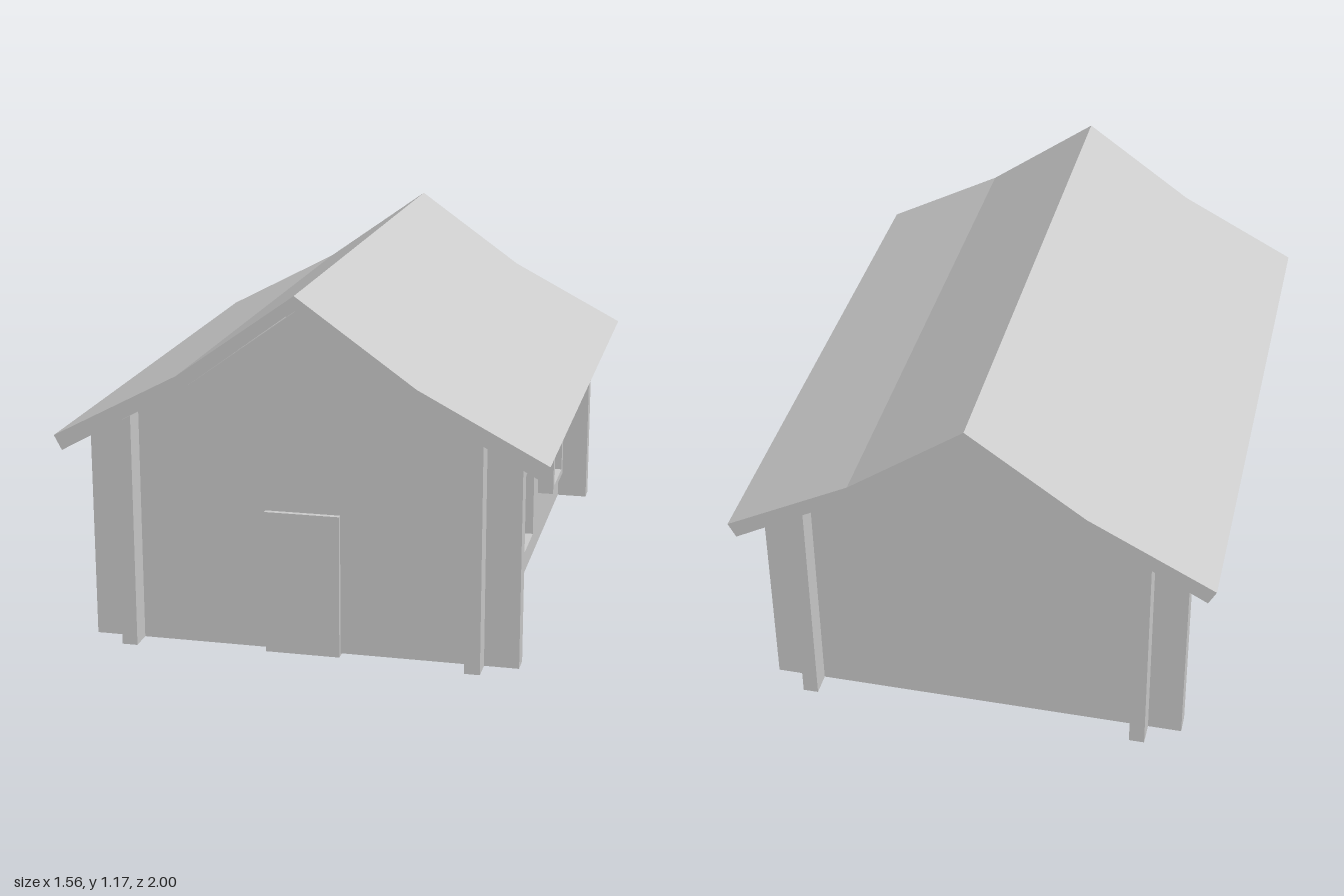
import * as THREE from 'three';

const material = new THREE.MeshStandardMaterial({ color: 0xcccccc, flatShading: true });

// Extrudes an x-y outline along z between z0 and z1
function prism(name, points, z0, z1, hole) {
  const shape = new THREE.Shape(points.map(([x, y]) => new THREE.Vector2(x, y)));
  if (hole) shape.holes.push(new THREE.Path(hole.map(([x, y]) => new THREE.Vector2(x, y))));
  const geometry = new THREE.ExtrudeGeometry(shape, { depth: z1 - z0, bevelEnabled: false });
  geometry.translate(0, 0, z0);
  const mesh = new THREE.Mesh(geometry, material);
  mesh.name = name;
  return mesh;
}

// Mirrors a right-hand half outline, listed from the ridge outwards, across x = 0
function mirrored(half) {
  const left = half.filter(([x]) => x > 0).map(([x, y]) => [-x, y]).reverse();
  return [...left, ...half];
}

const rect = (x0, y0, x1, y1) => [[x0, y0], [x1, y0], [x1, y1], [x0, y1]];

export function createModel() {
  const cabin = new THREE.Group();
  cabin.name = 'cabin';
  const base = 0.008;

  // Roof: steep upper pitch, shallower eaves
  const roofTop = mirrored([[0, 1.17], [0.375, 0.903], [0.78, 0.69]]);
  const roofUnderside = mirrored([[0, 1.125], [0.36, 0.86], [0.755, 0.643]]);
  cabin.add(prism('roof', [...roofTop, ...roofUnderside.reverse()], -1, 1));

  // Gable walls run past the corners to form short tails
  const gable = mirrored([[0, 1.117], [0.36, 0.857], [0.688, 0.677], [0.688, base]]);
  cabin.add(prism('frontGableWall', gable, 0.855, 0.92));
  cabin.add(prism('backGableWall', gable, -0.92, -0.855));

  // Door
  cabin.add(prism('door', rect(-0.12, 0, 0.12, 0.465), 0.88, 0.937));

  // Each side: long wall crossing the gables, with two framed windows
  for (const [name, turn] of [['leftSide', 0], ['rightSide', Math.PI]]) {
    const side = new THREE.Group();
    side.name = name;
    side.add(prism('sideWall', [[0.528, base], [0.578, base], [0.578, 0.74], [0.528, 0.767]], -0.996, 0.996));

    for (const z of [0.372, -0.388]) {
      const window = new THREE.Group();
      window.name = 'window';
      window.add(prism('windowFrame', rect(-0.133, 0.203, 0.133, 0.523), 0, 0.062, rect(-0.1, 0.227, 0.1, 0.492)));
      // Backing panel, showing just inside the wall
      window.add(prism('windowPanel', rect(-0.13, 0.206, 0.13, 0.52), -0.05, 0.01));
      window.position.set(0.572, 0, z);
      window.rotation.y = Math.PI / 2;
      side.add(window);
    }
    side.rotation.y = turn;
    cabin.add(side);
  }
  return cabin;
}
